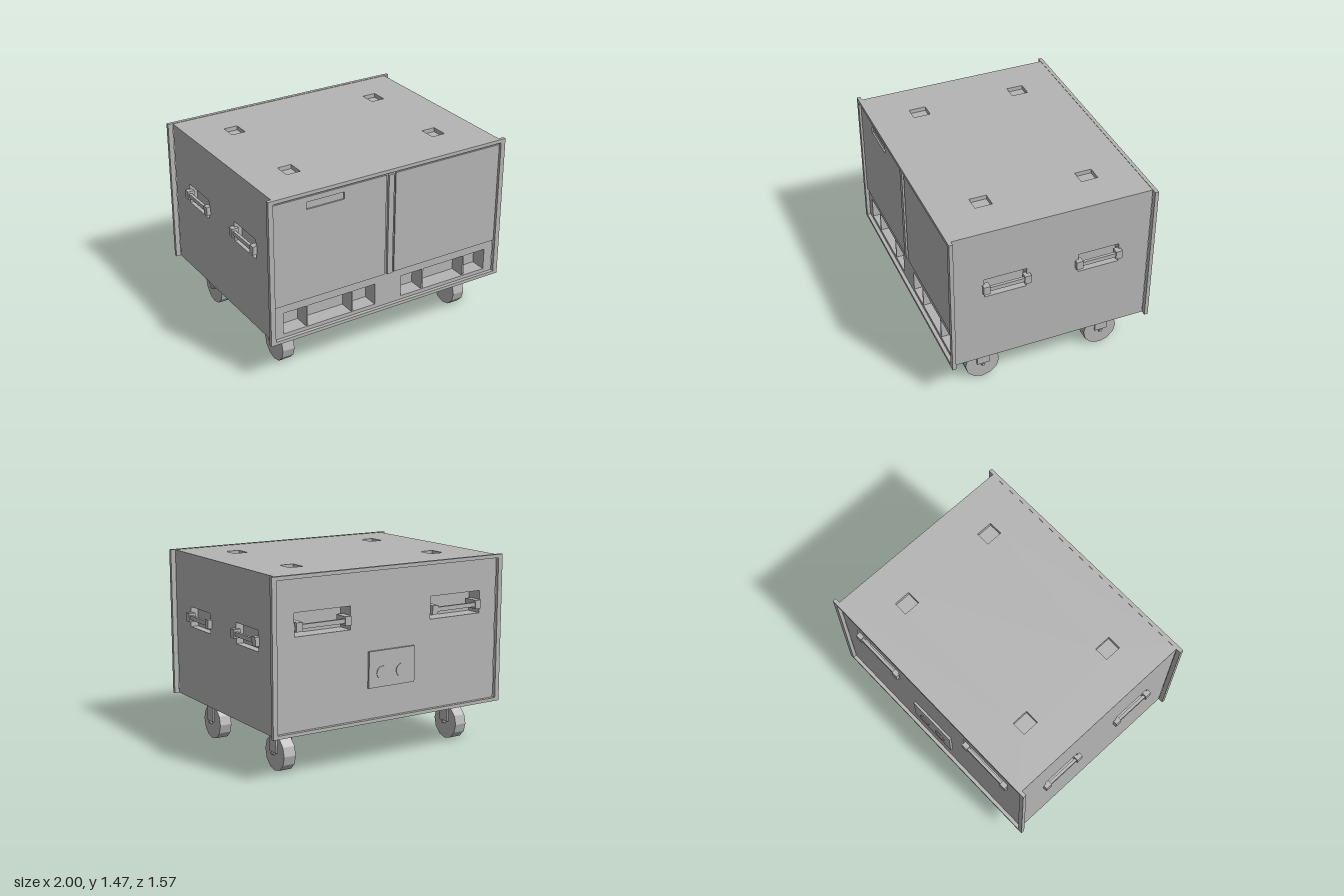
import * as THREE from 'three';

export function createModel() {
  const root = new THREE.Group();
  root.name = 'wheeledCase';
  const grey = new THREE.MeshStandardMaterial({ color: 0xb4b4b4, name: 'plain grey' });
  grey.name = 'plain grey';

  const add = (parent, name, geometry) => {
    const mesh = new THREE.Mesh(geometry, grey);
    mesh.name = name;
    parent.add(mesh);
    return mesh;
  };
  // Box given by its two extreme corners
  const box = (parent, name, x0, x1, y0, y1, z0, z1) => {
    const g = new THREE.BoxGeometry(x1 - x0, y1 - y0, z1 - z0);
    g.translate((x0 + x1) / 2, (y0 + y1) / 2, (z0 + z1) / 2);
    return add(parent, name, g);
  };
  const corners = (x0, x1, y0, y1) =>
    [[x0, y0], [x1, y0], [x1, y1], [x0, y1]].map(([x, y]) => new THREE.Vector2(x, y));
  // Panel with rectangular openings, reaching from z0 to z1
  const panel = (parent, name, rect, holes, z0, z1) => {
    const shape = new THREE.Shape(corners(...rect));
    for (const h of holes) shape.holes.push(new THREE.Path(corners(...h).reverse()));
    const g = new THREE.ExtrudeGeometry(shape, { depth: z1 - z0, bevelEnabled: false });
    g.translate(0, 0, z0);
    return add(parent, name, g);
  };
  const group = (name, parent = root) => {
    const g = new THREE.Group();
    g.name = name;
    parent.add(g);
    return g;
  };
  // Bar held between two end blocks, facing +z
  const handle = (parent, cx, cy, half, z0, z1) => {
    const h = group('handle', parent);
    for (const s of [-1, 1]) {
      const x = cx + s * half;
      box(h, 'handleBlock', x - 0.025, x + 0.025, cy - 0.033, cy + 0.033, z0, z1);
    }
    box(h, 'handleBar', cx - half, cx + half, cy - 0.016, cy + 0.016, z1 - 0.03, z1 - 0.008);
  };

  // Inner core closes the back of every pocket
  box(root, 'caseCore', -0.9, 0.9, 0.33, 1.43, -0.63, 0.63);

  // Top with four stacking sockets
  const sockets = [];
  for (const sx of [-1, 1]) for (const sz of [-1, 1]) {
    const x = sx * 0.62, z = sz * 0.405;
    sockets.push([x - 0.055, x + 0.055, z - 0.065, z + 0.065]);
  }
  const top = panel(root, 'topPanel', [-0.9, 0.9, -0.757, 0.757], sockets, 1.43, 1.462);
  top.rotation.x = -Math.PI / 2;

  // Sides with two recessed handles each
  for (const s of [-1, 1]) {
    const side = group(s > 0 ? 'leftSide' : 'rightSide');
    side.rotation.y = s * Math.PI / 2;
    panel(side, 'sidePanel', [-0.757, 0.757, 0.33, 1.462],
      [[-0.52, -0.2, 0.9, 1.055], [0.2, 0.52, 0.9, 1.055]], 0.9, 0.96);
    for (const t of [-1, 1]) handle(side, t * 0.355, 0.977, 0.155, 0.94, 0.992);
  }

  // End frames
  const frame = (parent) => panel(parent, 'edgeFrame', [-1, 1, 0.33, 1.465],
    [[-0.962, 0.962, 0.356, 1.438]], 0.757, 0.785);

  // Front: lower pockets with dividers, two doors and a centre strip
  const front = group('front');
  frame(front);
  panel(front, 'frontPanel', [-0.9, 0.9, 0.33, 1.43],
    [[-0.885, -0.115, 0.385, 0.555], [0.115, 0.885, 0.385, 0.555]], 0.63, 0.757);
  for (const x of [-0.69, -0.31, 0.31, 0.69]) {
    box(front, 'pocketDivider', x - 0.007, x + 0.007, 0.385, 0.555, 0.63, 0.755);
  }
  panel(front, 'rightDoor', [-0.958, -0.04, 0.62, 1.42], [[-0.695, -0.39, 1.325, 1.38]], 0.757, 0.769);
  panel(front, 'leftDoor', [0.04, 0.958, 0.62, 1.42], [], 0.757, 0.769);
  box(front, 'centreStrip', -0.023, 0.021, 0.62, 1.42, 0.757, 0.777);

  // Back: two deep handle pockets and a connector plate
  const back = group('back');
  back.rotation.y = Math.PI;
  frame(back);
  panel(back, 'backPanel', [-0.9, 0.9, 0.33, 1.43],
    [[-0.81, -0.35, 1.03, 1.2], [0.35, 0.81, 1.03, 1.2]], 0.63, 0.757);
  for (const s of [-1, 1]) handle(back, s * 0.58, 1.1, 0.2, 0.66, 0.78);
  // The pocket ends carry the handle blocks
  for (const s of [-1, 1]) for (const t of [-1, 1]) {
    const x = s * 0.58 + t * 0.225;
    box(back, 'handleMount', x - 0.012, x + 0.012, 1.08, 1.12, 0.7, 0.755);
  }
  box(back, 'connectorPlate', -0.2, 0.2, 0.585, 0.855, 0.757, 0.775);
  for (const s of [-1, 1]) {
    const disc = new THREE.CylinderGeometry(0.05, 0.05, 0.006, 24);
    disc.rotateX(Math.PI / 2).translate(s * 0.085, 0.69, 0.777);
    add(back, 'connectorDisc', disc);
  }

  // Casters and stacking feet under each corner
  for (const sx of [-1, 1]) for (const sz of [-1, 1]) {
    const caster = group('caster');
    caster.position.set(sx * 0.768, 0, sz * 0.483);
    box(caster, 'mountPlate', -0.09, 0.09, 0.312, 0.332, -0.095, 0.095);
    box(caster, 'swivel', -0.05, 0.05, 0.283, 0.313, -0.045, 0.045);
    box(caster, 'forkBridge', -0.067, 0.067, 0.272, 0.29, -0.048, 0.048);
    for (const s of [-1, 1]) {
      box(caster, 'forkArm', s * 0.06 - 0.007, s * 0.06 + 0.007, 0.143, 0.312, -0.048, 0.048);
      box(caster, 'forkTip', s * 0.06 - 0.007, s * 0.06 + 0.007, 0.122, 0.145, -0.014, 0.014);
    }
    // Twelve-sided wheel with flat facets
    const wheel = new THREE.CylinderGeometry(0.134, 0.134, 0.096, 12).toNonIndexed();
    wheel.rotateZ(Math.PI / 2).translate(0, 0.134, 0);
    wheel.computeVertexNormals();
    add(caster, 'wheel', wheel);
    const axle = new THREE.CylinderGeometry(0.012, 0.012, 0.15, 10);
    axle.rotateZ(Math.PI / 2).translate(0, 0.136, 0);
    add(caster, 'axle', axle);

    const x = sx * 0.62, z = sz * 0.405;
    box(root, 'stackingFoot', x - 0.046, x + 0.046, 0.304, 0.332, z - 0.055, z + 0.055);
  }
  return root;
}
